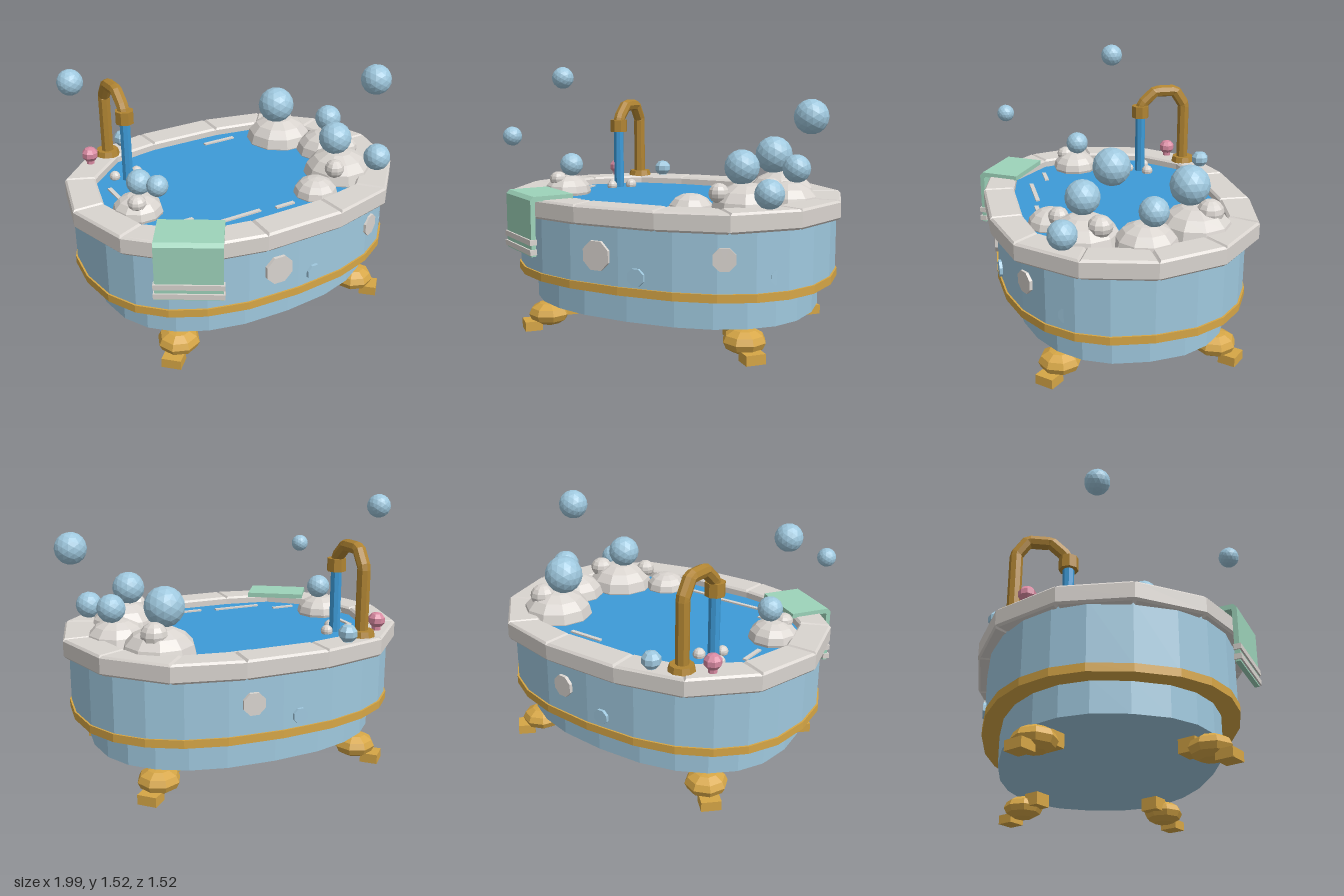
import * as THREE from 'three';

const mat = (name, color) => new THREE.MeshStandardMaterial({ name, color, flatShading: true });

export function createModel() {
  const model = new THREE.Group();
  model.name = 'bathtub';
  const enamel = mat('pale blue enamel', 0x9fc8de);
  const white = mat('warm white', 0xd9d4cf);
  const water = mat('water blue', 0x3d9bd8);
  const gold = mat('gold', 0xd6a646);
  const brass = mat('dark brass', 0xb08432);
  const green = mat('towel green', 0x9dd3ba);
  const pink = mat('pink', 0xd98aa2);

  const add = (name, geo, material, x = 0, y = 0, z = 0, parent = model) => {
    const m = new THREE.Mesh(geo, material);
    m.name = name;
    m.position.set(x, y, z);
    parent.add(m);
    return m;
  };
  const box = (w, h, d) => new THREE.BoxGeometry(w, h, d);

  // Squarish oval used for every ring of the tub
  const oval = (a, b, t) => {
    const c = Math.cos(t), s = Math.sin(t), p = 2 / 2.4;
    return new THREE.Vector2(a * Math.sign(c) * Math.abs(c) ** p, b * Math.sign(s) * Math.abs(s) ** p);
  };
  const slab = (pts, y0, y1, bevel = 0) => {
    const g = new THREE.ExtrudeGeometry(new THREE.Shape(pts), {
      depth: y1 - y0 - 2 * bevel, bevelEnabled: bevel > 0, bevelSize: bevel,
      bevelThickness: bevel, bevelOffset: -bevel, bevelSegments: 1,
    });
    g.rotateX(-Math.PI / 2);
    g.translate(0, y0 + bevel, 0);
    return g;
  };
  const ovalSlab = (a, b, y0, y1) => {
    const pts = [];
    for (let i = 0; i < 24; i++) pts.push(oval(a, b, (i / 24) * Math.PI * 2));
    return slab(pts, y0, y1);
  };
  add('lowerBody', ovalSlab(0.845, 0.61, 0.155, 0.34), enamel);
  add('goldBand', ovalSlab(0.95, 0.71, 0.325, 0.37), gold);
  add('upperBody', ovalSlab(0.94, 0.7, 0.36, 0.72), enamel);
  add('waterSurface', ovalSlab(0.85, 0.62, 0.71, 0.75), water);

  // Rim of fourteen bevelled blocks: one quarter outline mirrored all round
  const ring = (q) => {
    const half = [...q, ...q.slice(1).reverse().map(([x, z]) => [-x, z])];
    return [...half, ...half.map(([x, z]) => [-x, -z])].filter((p, i, all) =>
      all.findIndex((o) => Math.hypot(o[0] - p[0], o[1] - p[1]) < 1e-6) === i);
  };
  const addBack = (q) => {
    const pts = ring([...q]);
    if (!pts.some(([x, z]) => x < -0.78 && z === 0)) pts.push([-q[0][0], 0]);
    return pts.sort((a, b) => Math.atan2(a[1], a[0]) - Math.atan2(b[1], b[0]));
  };
  const outer = addBack([[0.995, 0], [0.895, 0.38], [0.615, 0.665], [0.235, 0.752]]);
  const inner = addBack([[0.815, 0], [0.735, 0.31], [0.5, 0.525], [0.225, 0.572]]);
  const rim = new THREE.Group();
  rim.name = 'rim';
  model.add(rim);
  outer.forEach((o, i) => {
    const j = (i + 1) % outer.length;
    const pts = [o, outer[j], inner[j], inner[i]].map(([x, y]) => new THREE.Vector2(x, y));
    add('rimBlock', slab(pts, 0.69, 0.797, 0.012), white, 0, 0, 0, rim);
  });

  // Clawed feet, turned out to the corners
  for (const sx of [-1, 1]) for (const sz of [-1, 1]) {
    const foot = new THREE.Group();
    foot.name = 'foot';
    foot.position.set(sx * 0.61, 0, sz * 0.44);
    foot.rotation.y = Math.atan2(sx, sz);
    model.add(foot);
    add('footBall', new THREE.SphereGeometry(0.12, 8, 6), gold, 0, 0.088, 0, foot).scale.y = 0.58;
    add('toe', box(0.11, 0.055, 0.1), gold, 0, 0.0275, 0.1, foot);
    add('ankle', box(0.11, 0.085, 0.1), gold, 0, 0.12, -0.11, foot);
  }

  // Round spots on the tub wall: angle is found from the x and z position
  const spot = (x, y, z, r, material) => {
    const p = 1.4;
    const nx = Math.sign(x) * (Math.abs(x) / 0.94) ** p / 0.94;
    const nz = Math.sign(z) * (Math.abs(z) / 0.7) ** p / 0.7;
    const g = new THREE.CylinderGeometry(r, r, 0.024, 8);
    g.rotateY(Math.PI / 8);
    g.rotateX(Math.PI / 2);
    add('wallSpot', g, material, x, y, z).rotation.y = Math.atan2(nx, nz);
  };
  spot(-0.13, 0.525, 0.698, 0.085, white);
  spot(0.105, 0.43, 0.698, 0.05, enamel);
  spot(0.56, 0.55, 0.605, 0.065, white);
  spot(0.78, 0.445, 0.43, 0.043, enamel);
  spot(0.17, 0.54, -0.696, 0.065, white);
  spot(-0.1, 0.435, -0.698, 0.045, enamel);

  // Faucet with its bent pipe, spout and running water
  const faucet = new THREE.Group();
  faucet.name = 'faucet';
  faucet.position.set(-0.54, 0, 0);
  model.add(faucet);
  add('faucetBase', new THREE.CylinderGeometry(0.065, 0.075, 0.035, 10), brass, 0, 0.812, -0.58, faucet);
  const path = [[0.79, -0.575], [1.18, -0.575], [1.272, -0.515], [1.272, -0.385], [1.2, -0.305], [1.15, -0.288]]
    .map(([y, z]) => new THREE.Vector3(0, y, z));
  const pipe = new THREE.CurvePath();
  for (let i = 1; i < path.length; i++) pipe.add(new THREE.LineCurve3(path[i - 1], path[i]));
  add('faucetPipe', new THREE.TubeGeometry(pipe, 40, 0.037, 8), brass, 0, 0, 0, faucet);
  add('spout', new THREE.CylinderGeometry(0.055, 0.055, 0.075, 8), brass, 0, 1.145, -0.288, faucet);
  add('waterStream', new THREE.CylinderGeometry(0.032, 0.032, 0.38, 8), water, 0, 0.93, -0.288, faucet);

  // Tap knobs
  for (const [x, y, z, r, m] of [[-0.68, 0.855, -0.51, 0.05, pink], [-0.405, 0.843, -0.655, 0.055, enamel]]) {
    add('tapStem', new THREE.CylinderGeometry(r * 0.5, r * 0.5, 0.07, 8), m, x, y - 0.035, z);
    add('tapKnob', new THREE.SphereGeometry(r, 8, 5), m, x, y, z).scale.y = 0.9;
  }

  // Foam heaps: x, y, z, radius, height
  const foam = [
    [0.55, 0.755, -0.32, 0.205, 0.15], [0.69, 0.755, -0.01, 0.175, 0.13], [0.56, 0.755, 0.29, 0.2, 0.15],
    [0.295, 0.755, 0.43, 0.125, 0.095], [-0.67, 0.765, 0.12, 0.14, 0.1],
    [0.6, 0.875, -0.385, 0.075, 0.07], [0.665, 0.87, 0.225, 0.068, 0.06], [0.445, 0.855, 0.405, 0.056, 0.054],
    [-0.7, 0.845, 0.18, 0.052, 0.045],
    [-0.605, 0.765, -0.33, 0.032, 0.032], [-0.47, 0.765, -0.32, 0.035, 0.035], [-0.55, 0.765, -0.215, 0.032, 0.032],
  ];
  for (const [x, y, z, r, h] of foam)
    add('foam', new THREE.SphereGeometry(r, 10, 8), white, x, y, z).scale.y = h / r;

  // Soap bubbles: x, y, z, radius
  const bubbles = [
    [-0.885, 1.45, -0.175, 0.07], [-0.755, 1.127, 0.555, 0.054], [0.88, 1.256, 0.212, 0.092],
    [-0.65, 0.928, 0.108, 0.07], [0.51, 1.0, -0.297, 0.111], [0.53, 0.985, 0.29, 0.095],
    [0.73, 0.953, 0.04 * -1, 0.08], [0.735, 0.87, 0.433, 0.079],
  ];
  for (const [x, y, z, r] of bubbles) add('bubble', new THREE.IcosahedronGeometry(r, 2), enamel, x, y, z);

  // Light streaks on the water: x, z, width, depth
  for (const [x, z, w, d] of [[0.19, -0.475, 0.215, 0.024], [-0.69, 0.14 * -1, 0.024, 0.155],
    [-0.52, 0.34, 0.14, 0.024], [-0.24, 0.447, 0.3, 0.024], [0.06, 0.468, 0.12, 0.024]])
    add('waterStreak', box(w, 0.009, d), white, x, 0.7545, z);

  // Towel folded over the rim
  const towel = new THREE.Group();
  towel.name = 'towel';
  towel.position.set(-0.585, 0, 0.552);
  towel.rotation.y = -0.57;
  model.add(towel);
  const fold = new THREE.Shape([[-0.125, 0.792], [0.095, 0.792], [0.1, 0.785], [0.1, 0.49], [0.127, 0.49],
    [0.127, 0.8], [0.108, 0.82], [-0.125, 0.82]].map(([z, y]) => new THREE.Vector2(z, y)));
  const cloth = new THREE.ExtrudeGeometry(fold, { depth: 0.355, bevelEnabled: false });
  cloth.translate(0, 0, -0.1775);
  cloth.rotateY(-Math.PI / 2);
  add('towelCloth', cloth, green, 0, 0, 0, towel);
  for (const y of [0.515, 0.57]) add('towelStripe', box(0.37, 0.03, 0.04), white, 0, y, 0.117, towel);

  return model;
}
